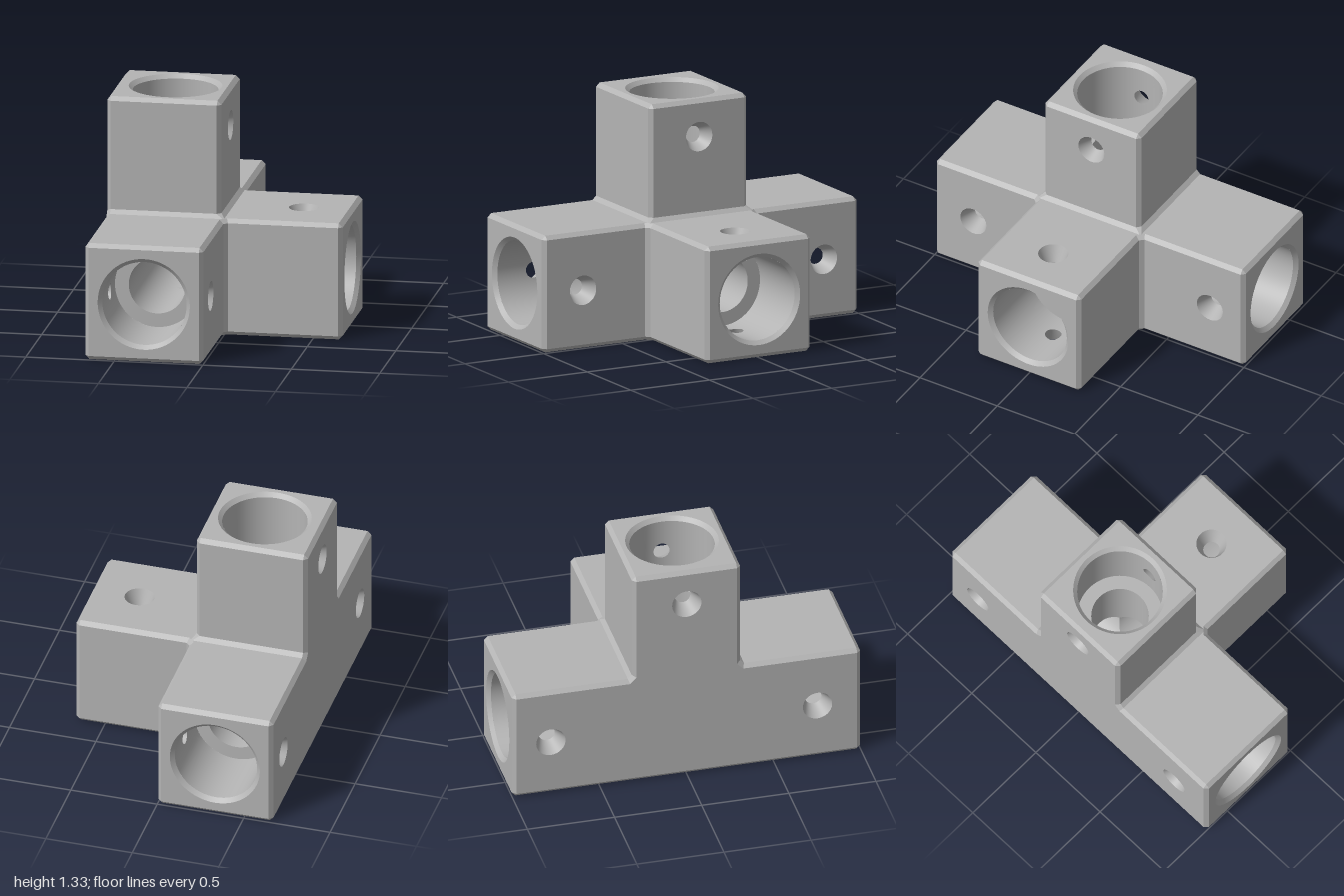
import * as THREE from 'three';
import { mergeGeometries } from 'three/addons/utils/BufferGeometryUtils.js';

// Frame of the hub centre: each arm ends 1 unit from it
const h = 1 / 3, c = 0.0225;             // half width, bevel
const k = h - c, j = h - 2 * c, m = h + c, e = 1 - c;
const p = h - 0.414 * c, q = h + 0.586 * c; // mitred ends of the inner-corner bevels
const R = 0.238, r = 0.16, floor = 0.58; // socket radius, bore radius, socket floor
const screwOut = 0.084, screwIn = 0.046, SEG = 64;
const screwUp = 0.787, screwRight = 0.725, screwFront = 0.75, screwBack = 0.78;

// Flat polygon facing n, with round holes [x, y, z, radius]
function plate(n, pts, holes = []) {
  const N = new THREE.Vector3(...n).normalize();
  const U = new THREE.Vector3(0, 1, 0);
  if (Math.abs(N.y) > 0.9) U.set(1, 0, 0);
  U.cross(N).normalize();
  const V = N.clone().cross(U);
  const flat = ([x, y, z]) => {
    const P = new THREE.Vector3(x, y, z);
    return new THREE.Vector2(P.dot(U), P.dot(V));
  };
  const shape = new THREE.Shape(pts.map(flat));
  for (const o of holes) {
    const at = flat(o);
    shape.holes.push(new THREE.Path().absarc(at.x, at.y, o[3], 0, Math.PI * 2, true));
  }
  const w = new THREE.Vector3(...pts[0]).dot(N);
  return new THREE.ShapeGeometry(shape, SEG / 2).translate(0, 0, w)
    .applyMatrix4(new THREE.Matrix4().makeBasis(U, V, N));
}

function outerFaces() {
  const mouth = R + c;
  const g = [
    // T-shaped back and bottom
    plate([-1, 0, 0], [[-e, -k], [e, -k], [e, k], [p, k], [j, q], [j, e], [-j, e], [-j, q], [-p, k], [-e, k]]
      .map(([z, y]) => [-h, y, z]),
    [[-h, 0, screwFront, screwOut], [-h, 0, -screwBack, screwOut], [-h, screwUp, 0, screwOut]]),
    plate([0, -1, 0], [[-k, -e], [-k, e], [k, e], [k, q], [q, k], [e, k], [e, -k], [q, -k], [k, -q], [k, -e]]
      .map(([x, z]) => [x, -h, z]), [[screwRight, -h, 0, screwOut]]),
    // ends of the side and upright arms
    plate([1, 0, 0], [[1, -k, -k], [1, k, -k], [1, k, k], [1, -k, k]], [[1, 0, 0, mouth]]),
    plate([0, 1, 0], [[-k, 1, -j], [j, 1, -j], [j, 1, j], [-k, 1, j]], [[0, 1, 0, mouth]]),
    // upright arm side, side arm top
    plate([1, 0, 0], [[k, m, -j], [k, e, -j], [k, e, j], [k, m, j]], [[k, screwUp, 0, screwOut]]),
    plate([0, 1, 0], [[h, h, -p], [h, h, p], [q, h, k], [e, h, k], [e, h, -k], [q, h, -k]],
      [[screwRight, h, 0, screwOut]]),
  ];
  for (const s of [1, -1]) {
    const t = s > 0 ? screwFront : screwBack;
    g.push(
      plate([0, 0, s], [[-k, -k, s], [k, -k, s], [k, k, s], [-k, k, s]], [[0, 0, s, mouth]]),
      plate([1, 0, 0], [[h, -k, s * m], [h, k, s * m], [h, k, s * e], [h, -k, s * e]], [[h, 0, s * t, screwOut]]),
      plate([0, 1, 0], [[-k, h, s * h], [p, h, s * h], [k, h, s * q], [k, h, s * e], [-k, h, s * e]]),
      plate([0, 0, s], [[m, -k, s * h], [e, -k, s * h], [e, k, s * h], [m, k, s * h]]),
      plate([0, 0, s], [[-k, m, s * k], [j, m, s * k], [j, e, s * k], [-k, e, s * k]]));
  }
  return mergeGeometries(g);
}

function bevels() {
  const g = [];
  const add = (n, ...pts) => g.push(plate(n, pts));
  // upright arm, across the top and foot
  add([1, 1, 0], [k, e, -j], [k, e, j], [j, 1, j], [j, 1, -j]);
  add([-1, 1, 0], [-h, e, -j], [-h, e, j], [-k, 1, j], [-k, 1, -j]);
  add([1, 1, 0], [k, m, -j], [k, m, j], [h, h, p], [h, h, -p]);
  // long bottom back edge, end edges of the side arm
  add([-1, -1, 0], [-h, -k, -e], [-h, -k, e], [-k, -h, e], [-k, -h, -e]);
  for (const y of [1, -1]) add([1, y, 0], [e, y * h, -k], [e, y * h, k], [1, y * k, k], [1, y * k, -k]);

  for (const s of [1, -1]) {
    const E = s * e, H = s * h, K = s * k, J = s * j, M = s * m, P = s * p, Q = s * q;
    for (const a of [1, -1]) {
      // front and back ends
      add([a, 0, s], [a * h, -k, E], [a * h, k, E], [a * k, k, s], [a * k, -k, s]);
      add([0, a, s], [-k, a * h, E], [k, a * h, E], [k, a * k, s], [-k, a * k, s]);
      for (const b of [1, -1]) add([a, b, s], [a * h, b * k, E], [a * k, b * h, E], [a * k, b * k, s]);
      // long edges of the bar and side arm, corner between them
      add([1, a, 0], [h, a * k, M], [h, a * k, E], [k, a * h, E], [k, a * h, Q]);
      add([0, a, s], [q, a * h, K], [e, a * h, K], [e, a * k, H], [m, a * k, H]);
      add([1, a * Math.SQRT2, s], [k, a * h, Q], [q, a * h, K], [m, a * k, H], [h, a * k, M]);
      add([1, a, s], [e, a * h, K], [1, a * k, K], [e, a * k, H]);
    }
    add([1, 0, s], [e, -k, H], [e, k, H], [1, k, K], [1, -k, K]);
    add([1, 0, s], [h, -k, M], [h, k, M], [m, k, H], [m, -k, H]);
    add([-1, 1, 0], [-h, k, P], [-h, k, E], [-k, h, E], [-k, h, H]);
    // upright arm: foot, foot corners, upright edges, top
    add([0, 1, s], [-k, h, H], [p, h, H], [j, m, K], [-k, m, K]);
    add([-Math.SQRT2, 1, s], [-h, k, P], [-h, q, J], [-k, m, K], [-k, h, H]);
    add([1, 2.586, s], [k, m, J], [j, m, K], [p, h, H], [h, h, P]);
    add([1, 0, s], [k, m, J], [k, e, J], [j, e, K], [j, m, K]);
    add([-1, 0, s], [-h, q, J], [-h, e, J], [-k, e, K], [-k, m, K]);
    add([0, 1, s], [-k, e, K], [j, e, K], [j, 1, J], [-k, 1, J]);
    add([1, 1, s], [k, e, J], [j, 1, J], [j, e, K]);
    add([-1, 1, s], [-h, e, J], [-k, 1, J], [-k, e, K]);
  }
  return mergeGeometries(g);
}

// Surface of revolution from pairs of radius and height, sharp between steps
const turned = (a, b, ...arc) =>
  new THREE.LatheGeometry([new THREE.Vector2(...a), new THREE.Vector2(...b)], SEG, ...arc);

// Move every vertex by a rule
function reshape(geo, rule) {
  const pos = geo.attributes.position, v = new THREE.Vector3();
  for (let i = 0; i < pos.count; i++) {
    rule(v.fromBufferAttribute(pos, i));
    pos.setXYZ(i, v.x, v.y, v.z);
  }
  return geo;
}

// Socket along +y, with countersunk screw holes towards +z and -z
function socket(t, wallPlus, wallMinus) {
  const w = 0.15, a = Math.asin(w / R);
  const g = [
    turned([R + c, 1], [R, e]),
    turned([R, floor], [r, floor]),
    turned([R, e], [R, floor], a, Math.PI - 2 * a),
    turned([R, e], [R, floor], Math.PI + a, Math.PI - 2 * a),
  ];
  [wallPlus, wallMinus].forEach((wall, i) => {
    // curved wall patch running from the screw hole out to a rectangle
    const patch = reshape(new THREE.PlaneGeometry(1, 1, SEG, 6), (v) => {
      const phi = (v.x + 0.5) * Math.PI * 2, f = v.y + 0.5;
      const x = Math.cos(phi), y = Math.sin(phi), big = Math.max(Math.abs(x), Math.abs(y));
      const edgeY = (y / big) * (y > 0 ? e - t : t - floor);
      v.x = THREE.MathUtils.lerp(screwIn * x, (w * x) / big, f);
      v.y = t + THREE.MathUtils.lerp(screwIn * y, edgeY, f);
      v.z = Math.sqrt(R * R - v.x * v.x);
    });
    const pos = patch.attributes.position;
    for (let n = 0; n < pos.count; n++) patch.attributes.normal.setXYZ(n, -pos.getX(n) / R, 0, -pos.getZ(n) / R);
    // countersink cone ending on the curved wall
    const cone = reshape(turned([screwOut, wall], [screwIn, R]).rotateX(Math.PI / 2), (v) => {
      if (v.z < wall - 0.01) v.z = Math.sqrt(R * R - v.x * v.x);
    }).translate(0, t, 0);
    g.push(patch.rotateY(i * Math.PI), cone.rotateY(i * Math.PI));
  });
  return mergeGeometries(g);
}

export function createModel() {
  const model = new THREE.Group();
  model.name = 'fourWayTubeConnector';
  const grey = new THREE.MeshStandardMaterial({ color: 0xb4b4b4, side: THREE.DoubleSide });
  grey.name = 'grey';
  const add = (name, geo) => {
    const mesh = new THREE.Mesh(geo, grey);
    mesh.name = name;
    mesh.position.set(-h, h, 0);
    model.add(mesh);
  };
  add('outerFaces', outerFaces());
  add('bevels', bevels());

  // Arms: axis, screw direction, screw position, wall distances, start of the mitred bore
  const arms = [
    ['upright', [0, 1, 0], [1, 0, 0], screwUp, k, h, (v) => { v.y = Math.max(Math.abs(v.z), v.x, 0); }],
    ['side', [1, 0, 0], [0, 1, 0], screwRight, h, h, (v) => { v.x = Math.max(Math.abs(v.z), v.y, 0); }],
    ['front', [0, 0, 1], [1, 0, 0], screwFront, h, h, (v) => { v.z = Math.max(v.x, v.y, 0); }],
    ['back', [0, 0, -1], [1, 0, 0], screwBack, h, h, (v) => { v.z = -Math.max(v.x, v.y, 0); }],
  ];
  for (const [name, axis, screw, t, plus, minus, mitre] of arms) {
    const Y = new THREE.Vector3(...axis), Z = new THREE.Vector3(...screw);
    const turn = new THREE.Matrix4().makeBasis(Y.clone().cross(Z), Y, Z);
    add(name + 'Socket', socket(t, plus, minus).applyMatrix4(turn));
    add(name + 'Bore', reshape(turned([r, floor], [r, 0]).applyMatrix4(turn), (v) => {
      if (v.dot(Y) < 0.01) mitre(v);
    }));
  }
  return model;
}
